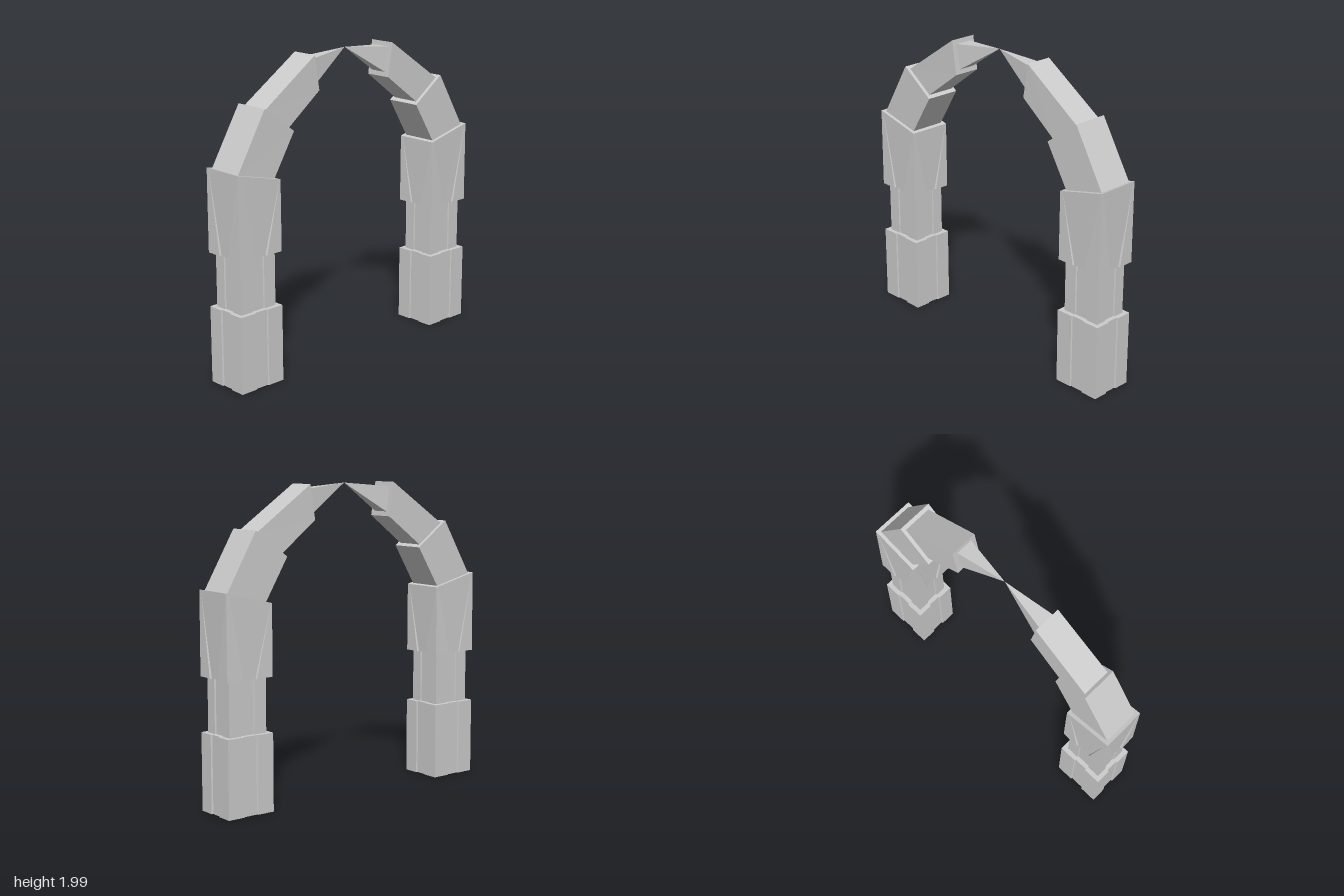
import * as THREE from 'three';

const material = new THREE.MeshStandardMaterial({ color: 0xcccccc, flatShading: true });
const CENTRE_Z = 0.835;

// Closed solid between two matching loops of [x, y, z] points
function loft(name, a, b) {
  const n = a.length, pos = [];
  const mid = (loop) => [0, 1, 2].map((k) => loop.reduce((s, p) => s + p[k], 0) / n);
  const ca = mid(a), cb = mid(b);
  for (let i = 0; i < n; i++) {
    const j = (i + 1) % n;
    pos.push(...a[i], ...a[j], ...b[j], ...a[i], ...b[j], ...b[i]);
    pos.push(...ca, ...a[j], ...a[i], ...cb, ...b[i], ...b[j]);
  }
  const geometry = new THREE.BufferGeometry();
  geometry.setAttribute('position', new THREE.Float32BufferAttribute(pos, 3));
  geometry.computeVertexNormals();
  const mesh = new THREE.Mesh(geometry, material);
  mesh.name = name;
  return mesh;
}

// Rectangle with a shallow channel in every side; c and d are fractions of the half size
function channelled(hx, hz, c, d, height) {
  const loop = [];
  for (let side = 0; side < 4; side++) {
    const points = [[-1, 1], [-c, 1], [-0.92 * c, 1 - d], [0.92 * c, 1 - d], [c, 1]];
    for (let [x, z] of points) {
      for (let k = 0; k < side; k++) [x, z] = [z, -x];
      loop.push([x * hx, height(z), z * hz + CENTRE_Z]);
    }
  }
  return loop;
}

// Cross-section of an arch block from its outer and inner [z, y] edges
const slice = (hx, [zo, yo], [zi, yi]) => [[-hx, yo, zo], [hx, yo, zo], [hx, yi, zi], [-hx, yi, zi]];

function createArm() {
  const arm = new THREE.Group();
  const level = (y) => () => y;

  // Pillar
  arm.add(loft('pillarBase',
    channelled(0.145, 0.165, 0.3, 0.06, level(0)),
    channelled(0.145, 0.165, 0.3, 0.06, level(0.495))));
  arm.add(loft('pillarShaft',
    channelled(0.115, 0.135, 0.36, 0.07, level(0.48)),
    channelled(0.115, 0.135, 0.36, 0.07, level(0.85))));
  // Channels widen and fade out towards the sloping top
  arm.add(loft('pillarCapital',
    channelled(0.145, 0.165, 0.3, 0.08, level(0.84)),
    channelled(0.143, 0.165, 0.96, 0, (z) => 1.33 + 0.04 * z)));

  // Arch blocks and pointed tip
  arm.add(loft('lowerArchBlock',
    slice(0.12, [0.98, 1.36], [0.70, 1.29]),
    slice(0.118, [0.765, 1.727], [0.535, 1.56])));
  arm.add(loft('upperArchBlock',
    slice(0.095, [0.745, 1.71], [0.56, 1.575]),
    slice(0.09, [0.335, 1.99], [0.30, 1.77])));
  arm.add(loft('archTip',
    slice(0.057, [0.335, 1.96], [0.303, 1.8]),
    slice(0, [0, 1.99], [0, 1.99])));
  return arm;
}

export function createModel() {
  const model = new THREE.Group();
  model.name = 'archway';
  for (const [name, turn] of [['frontArm', 0], ['backArm', Math.PI]]) {
    const arm = createArm();
    arm.name = name;
    arm.rotation.y = turn;
    model.add(arm);
  }
  return model;
}
